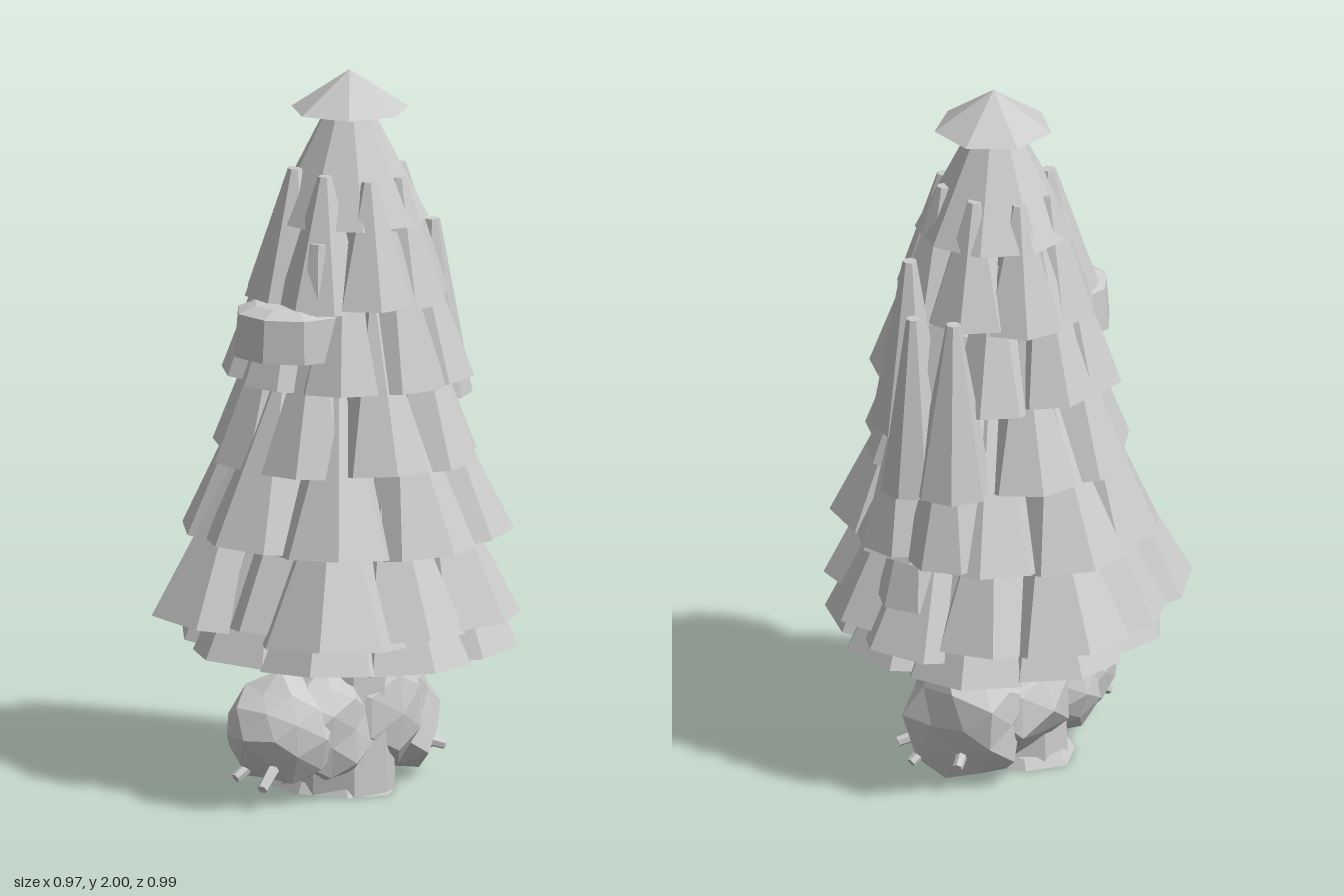
import * as THREE from 'three';

const mat = new THREE.MeshStandardMaterial({ color: 0xcccccc, flatShading: true });

function add(parent, geometry, name, x = 0, y = 0, z = 0) {
  const mesh = new THREE.Mesh(geometry, mat);
  mesh.name = name;
  mesh.position.set(x, y, z);
  parent.add(mesh);
  return mesh;
}

// Truncated cone standing on its base centre
function frustum(rTop, rBase, h, sides = 7) {
  return new THREE.CylinderGeometry(rTop, rBase, h, sides).translate(0, h / 2, 0);
}

// Repeatable value in -1..1
const vary = (i) => { const s = Math.sin(i * 12.9898) * 43758.5453; return 2 * (s - Math.floor(s)) - 1; };

// One bough leaning in towards the axis
function bough(parent, name, x, z, y, h, r, tilt, turn) {
  const pivot = new THREE.Group();
  pivot.name = name;
  pivot.position.set(x, y, z);
  pivot.rotation.y = -Math.atan2(z, x);
  const cone = add(pivot, frustum(0.02, r, h).rotateY(turn), name + 'Cone');
  cone.rotation.z = tilt;
  parent.add(pivot);
}

// Faceted lump with uneven vertices
function rock(parent, name, x, y, z, sx, sy, sz, seed) {
  const geo = new THREE.IcosahedronGeometry(1, 1);
  const p = geo.attributes.position;
  const v = new THREE.Vector3();
  for (let i = 0; i < p.count; i++) {
    v.fromBufferAttribute(p, i);
    const key = Math.round(v.x * 50) + 3 * Math.round(v.y * 50) + 7 * Math.round(v.z * 50);
    v.multiplyScalar(1 + 0.15 * vary(key + seed));
    p.setXYZ(i, v.x * sx, v.y * sy, v.z * sz);
  }
  geo.computeVertexNormals();
  add(parent, geo, name, x, y, z);
}

// Short stick between two points
function stick(parent, a, b) {
  const from = new THREE.Vector3(...a), to = new THREE.Vector3(...b);
  const dir = to.clone().sub(from);
  const mesh = add(parent, frustum(0.014, 0.018, dir.length(), 6), 'stick', ...a);
  mesh.quaternion.setFromUnitVectors(new THREE.Vector3(0, 1, 0), dir.normalize());
}

export function createModel() {
  const tree = new THREE.Group();
  tree.name = 'tree';

  // Foliage core and crown
  add(tree, frustum(0.07, 0.28, 1.42, 8), 'foliageCore', 0.01, 0.42, 0);
  add(tree, frustum(0.045, 0.22, 0.34, 9), 'crown', 0.015, 1.59, 0);
  add(tree, frustum(0.003, 0.165, 0.11, 7), 'crownCap', 0.02, 1.89, 0);

  // Wide uneven lower skirt: angle in degrees, distance from the axis, base height, radius
  [
    [0, 0.285, 0.43, 0.2], [31, 0.29, 0.46, 0.19], [75, 0.315, 0.48, 0.2], [113, 0.31, 0.47, 0.19],
    [146, 0.36, 0.46, 0.21], [182, 0.255, 0.47, 0.18], [218, 0.34, 0.47, 0.21],
    [255, 0.3, 0.47, 0.2], [288, 0.32, 0.47, 0.2], [322, 0.27, 0.46, 0.19],
  ].forEach(([deg, R, y, r], i) => {
    const a = (deg * Math.PI) / 180;
    bough(tree, 'skirtBough', R * Math.cos(a), R * Math.sin(a), y, 0.48, r, 0.13, Math.PI / 2 + 0.3 * vary(i));
  });

  // Rings of boughs: base height, outer reach, base radius, length, count, phase, tilt, width in x
  const tiers = [
    [0.38, 0.475, 0.2, 0.46, 8, 0.3, 0.1, 1],
    [0.7, 0.465, 0.175, 0.46, 8, 0.2, 0.13, 0.96],
    [0.915, 0.395, 0.145, 0.44, 8, 0.55, 0.1, 0.92],
    [1.15, 0.36, 0.13, 0.42, 8, 0.2, 0.1, 0.88],
    [1.375, 0.305, 0.13, 0.36, 8, 0.5, 0.03, 0.94],
  ];
  tiers.forEach(([y, outer, r, h, n, phase, tilt, width], t) => {
    for (let i = 0; i < n; i++) {
      const a = phase + (i / n) * Math.PI * 2;
      const k = t * 17 + i;
      const R = outer - r + 0.01 * vary(k);
      bough(tree, 'bough', R * width * Math.cos(a) + 0.005, R * Math.sin(a), y + 0.012 * vary(k + 5),
        h * (1 + 0.05 * vary(k + 9)), r, tilt, Math.PI / 2 + 0.3 * vary(k + 2));
    }
  });

  // Tall slender boughs on the left side: x, z, base height, length, radius
  [
    [0.36, 0.0, 0.92, 0.51, 0.09], [0.32, -0.11, 0.93, 0.5, 0.11],
    [0.275, 0.085, 1.06, 0.49, 0.11], [0.33, 0.05, 0.74, 0.46, 0.13],
    [0.32, -0.1, 0.73, 0.44, 0.13], [0.31, 0.02, 0.57, 0.4, 0.12],
  ].forEach(([x, z, y, h, r], i) => bough(tree, 'tallBough', x, z, y, h, r, 0.0, i));

  // Blunt clump on the right side
  add(tree, frustum(0.16, 0.17, 0.12, 9), 'sideClump', -0.2, 1.24, -0.02);
  add(tree, frustum(0.11, 0.16, 0.02, 9), 'sideClumpTop', -0.2, 1.36, -0.02);
  add(tree, frustum(0.025, 0.065, 0.2), 'sideClumpTip', -0.2, 1.36, 0.07);
  add(tree, frustum(0.025, 0.065, 0.19), 'sideClumpTip', -0.18, 1.36, -0.07);

  // Trunk, broader from front to back, and the lumps around its foot
  add(tree, frustum(0.17, 0.185, 0.45, 9).scale(0.74, 1, 1), 'trunk', -0.055, 0, 0.01);
  add(tree, frustum(0.18, 0.2, 0.03, 8).scale(0.74, 1, 1), 'trunkFoot', -0.055, 0, 0);
  [
    [-0.28, 0.19, 0.0, 0.15, 0.155, 0.16],
    [0.16, 0.19, -0.02, 0.15, 0.19, 0.19],
    [0.0, 0.22, 0.06, 0.19, 0.18, 0.14],
    [-0.15, 0.18, -0.04, 0.17, 0.15, 0.15],
    [0.03, 0.2, -0.08, 0.17, 0.18, 0.13],
    [-0.17, 0.2, 0.07, 0.16, 0.16, 0.12],
  ].forEach((s, i) => rock(tree, 'rock', ...s, i * 31));

  stick(tree, [-0.33, 0.13, 0.04], [-0.43, 0.06, 0.06]);
  stick(tree, [-0.32, 0.12, -0.04], [-0.4, 0.07, -0.06]);
  stick(tree, [0.2, 0.13, 0.03], [0.31, 0.06, 0.05]);
  stick(tree, [0.18, 0.14, -0.05], [0.29, 0.08, -0.1]);
  stick(tree, [0.16, 0.12, 0.06], [0.26, 0.08, 0.14]);

  return tree;
}
